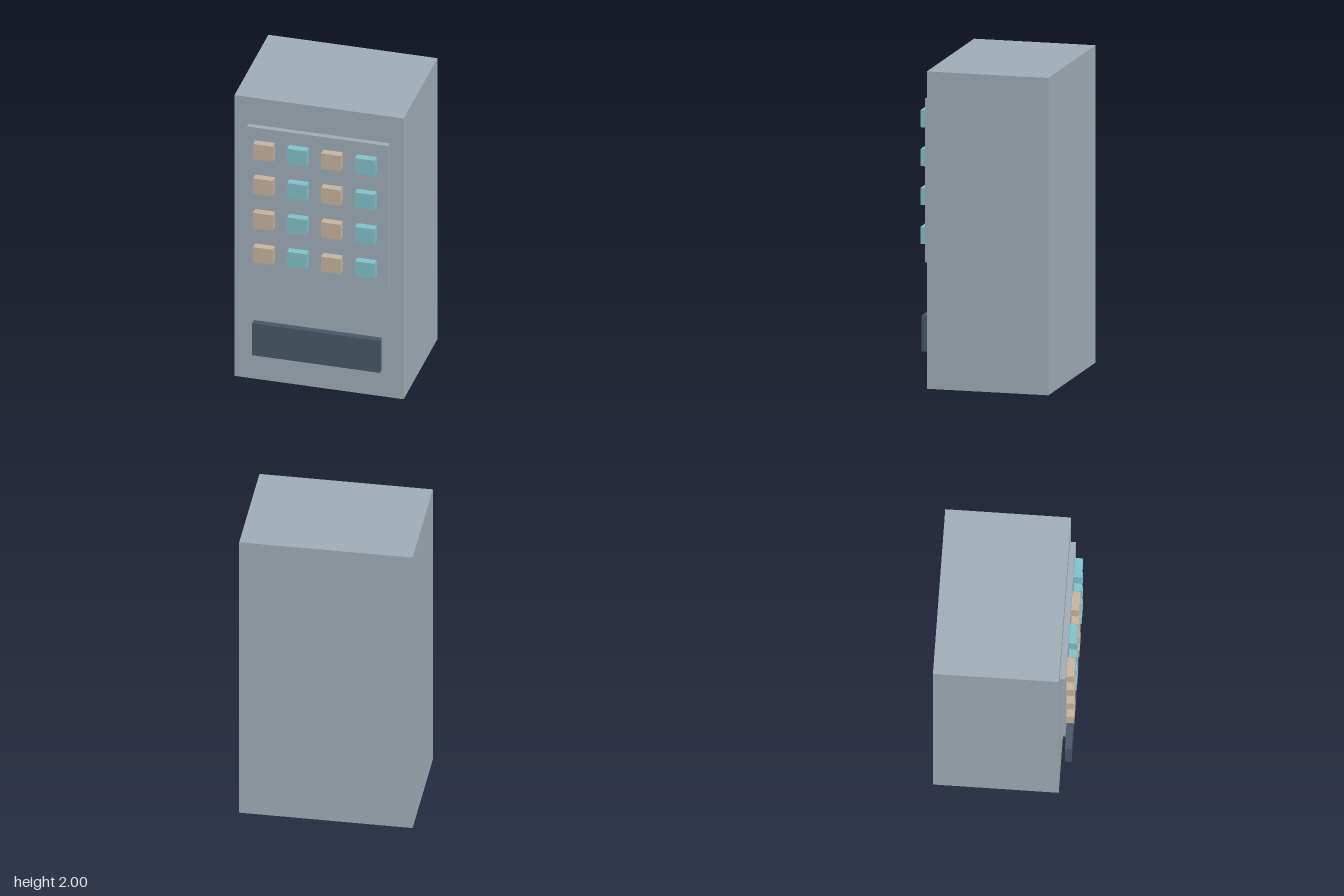
import * as THREE from 'three';

const flat = (name, color) => {
  const material = new THREE.MeshStandardMaterial({ color });
  material.name = name;
  return material;
};

// Box given by its extents along each axis
function box(name, material, [x0, x1], [y0, y1], [z0, z1]) {
  const mesh = new THREE.Mesh(new THREE.BoxGeometry(x1 - x0, y1 - y0, z1 - z0), material);
  mesh.position.set((x0 + x1) / 2, (y0 + y1) / 2, (z0 + z1) / 2);
  mesh.name = name;
  return mesh;
}

export function createModel() {
  const grey = flat('blue grey', 0xa0adb7);
  const slate = flat('dark slate', 0x485867);
  const tan = flat('tan', 0xc8b49e);
  const teal = flat('teal', 0x80c2c9);

  const model = new THREE.Group();
  model.name = 'vendingMachine';

  // Cabinet and raised display panel
  model.add(box('cabinet', grey, [-0.543, 0.543], [0, 2], [-0.433, 0.347]));
  model.add(box('displayPanel', grey, [-0.453, 0.453], [0.778, 1.81], [0.347, 0.383]));

  // Collection flap, standing just clear of the cabinet
  model.add(box('collectionFlap', slate, [-0.41, 0.41], [0.206, 0.434], [0.375, 0.417]));

  // Products: four rows, columns alternating tan and teal
  const products = new THREE.Group();
  products.name = 'products';
  for (let row = 0; row < 4; row++) {
    for (let col = 0; col < 4; col++) {
      const x = -0.336 + col * 0.218;
      const y = 0.932 + row * 0.245;
      products.add(box('product', col % 2 ? teal : tan,
        [x - 0.063, x + 0.063], [y - 0.054, y + 0.054], [0.383, 0.433]));
    }
  }
  model.add(products);

  return model;
}
